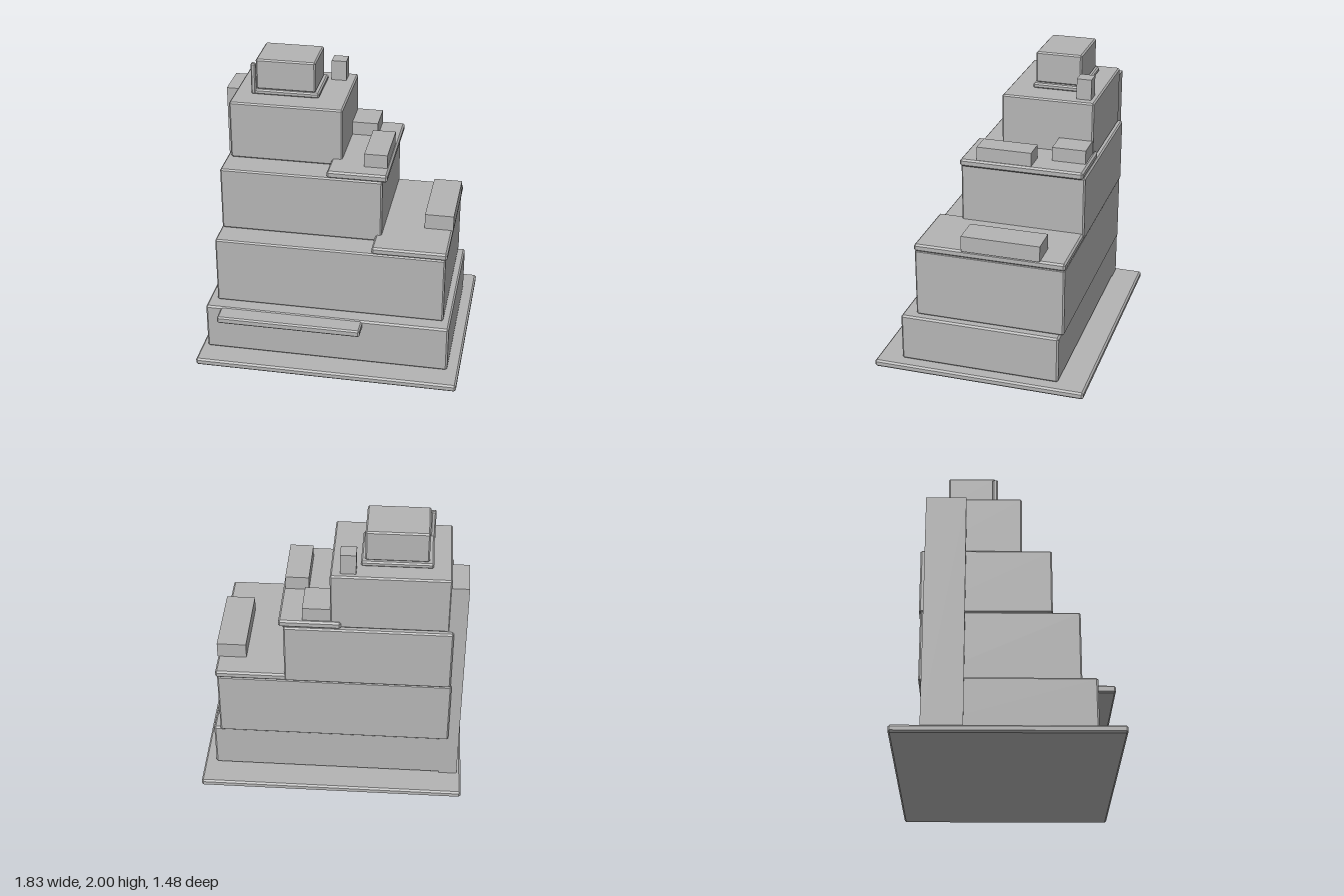
import * as THREE from 'three';
import { ConvexGeometry } from 'three/addons/geometries/ConvexGeometry.js';

// Box with narrow 45-degree chamfers on every edge
function chamferedBox(w, h, d, c) {
  const half = [w / 2, h / 2, d / 2], points = [];
  for (const sx of [-1, 1]) for (const sy of [-1, 1]) for (const sz of [-1, 1]) {
    for (let full = 0; full < 3; full++) {
      const p = half.map((v, i) => (i === full ? v : v - c));
      points.push(new THREE.Vector3(sx * p[0], sy * p[1], sz * p[2]));
    }
  }
  return new ConvexGeometry(points);
}

export function createModel() {
  const group = new THREE.Group();
  const concrete = new THREE.MeshStandardMaterial({ color: 0xb4b4b4 });
  concrete.name = 'concrete grey';

  // Adds a block from its extents; chamfer 0 gives sharp edges
  function block(name, [x0, x1], [y0, y1], [z0, z1], chamfer = 0) {
    const size = [x1 - x0, y1 - y0, z1 - z0];
    const geometry = chamfer ? chamferedBox(...size, chamfer) : new THREE.BoxGeometry(...size);
    const mesh = new THREE.Mesh(geometry, concrete);
    mesh.name = name;
    mesh.position.set((x0 + x1) / 2, (y0 + y1) / 2, (z0 + z1) / 2);
    group.add(mesh);
  }

  // Ground slab and stepped storeys
  block('baseSlab', [-0.916, 0.916], [0, 0.05], [-0.74, 0.74], 0.012);
  block('firstTier', [-0.873, 0.835], [0.05, 0.387], [-0.545, 0.567], 0.012);
  block('secondTier', [-0.811, 0.785], [0.387, 0.873], [-0.567, 0.471], 0.01);
  block('thirdTier', [-0.803, 0.322], [0.873, 1.33], [-0.576, 0.292], 0.01);
  block('fourthTier', [-0.774, 0.013], [1.33, 1.746], [-0.55, 0.095], 0.01);

  // Entrance canopy and terrace slabs
  block('entranceCanopy', [-0.765, 0.237], [0.33, 0.38], [0.55, 0.685], 0.01);
  block('lowerTerrace', [0.28, 0.796], [0.87, 0.922], [-0.572, 0.472], 0.012);
  block('upperTerrace', [-0.06, 0.354], [1.328, 1.38], [-0.567, 0.292], 0.012);

  // Stair tower on the side
  block('stairTower', [-0.886, -0.76], [0.05, 1.685], [-0.545, -0.277]);

  // Terrace planters and roof units
  block('lowerPlanter', [0.6, 0.8], [0.92, 1.03], [-0.403, 0.137]);
  block('upperPlanter', [0.178, 0.338], [1.378, 1.476], [-0.207, 0.175]);
  block('rearRoofUnit', [0, 0.195], [1.378, 1.476], [-0.546, -0.313]);
  block('chimney', [-0.155, -0.05], [1.74, 1.89], [-0.515, -0.413]);

  // Penthouse with its plinth and corner post
  block('penthousePlinth', [-0.652, -0.18], [1.744, 1.782], [-0.425, -0.07], 0.01);
  block('penthouse', [-0.622, -0.206], [1.78, 2.0], [-0.405, -0.083], 0.01);
  block('cornerPost', [-0.655, -0.622], [1.746, 1.972], [-0.103, -0.067], 0.008);

  return group;
}
